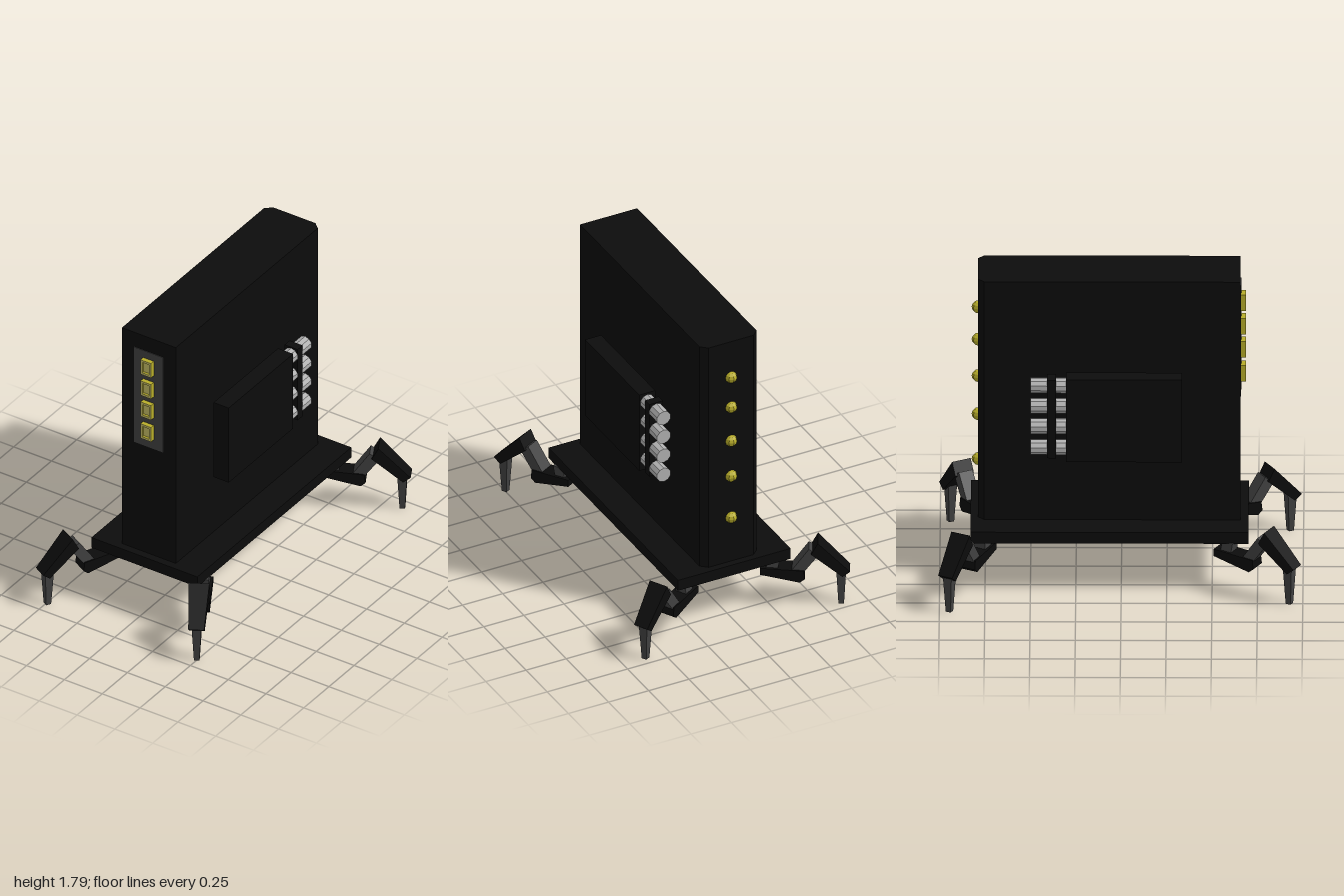
import * as THREE from 'three';

const mat = (name, color) => {
  const m = new THREE.MeshStandardMaterial({ color });
  m.name = name;
  return m;
};

// Faceted copy of a rounded geometry
const faceted = (geo) => {
  const g = geo.toNonIndexed();
  g.computeVertexNormals();
  return g;
};

// Closed side profile (r, y) extruded to a width centred on z
function prism(points, width) {
  const shape = new THREE.Shape(points.map(([x, y]) => new THREE.Vector2(x, y)));
  const geo = new THREE.ExtrudeGeometry(shape, { depth: width, bevelEnabled: false });
  return geo.translate(0, 0, -width / 2);
}

export function createModel() {
  const black = mat('black shell', 0x0c0c0c);
  const grey = mat('dark grey metal', 0x414141);
  const silver = mat('silver', 0xb2b2b2);
  const yellow = mat('yellow', 0xb8ad2a);
  const pale = mat('pale yellow', 0xc6be66);

  const root = new THREE.Group();
  root.name = 'walkingTower';
  const core = new THREE.Group();
  core.name = 'core';
  core.position.x = -0.004;
  root.add(core);

  const add = (parent, name, geo, material, x = 0, y = 0, z = 0) => {
    const m = new THREE.Mesh(geo, material);
    m.name = name;
    m.position.set(x, y, z);
    parent.add(m);
    return m;
  };
  // Box given by its minimum and maximum corners
  const box = (parent, name, material, a, b) =>
    add(parent, name, new THREE.BoxGeometry(b[0] - a[0], b[1] - a[1], b[2] - a[2]), material,
      (a[0] + b[0]) / 2, (a[1] + b[1]) / 2, (a[2] + b[2]) / 2);

  // Tower with chamfered rear corners, drawn in plan and raised
  const plan = new THREE.Shape([
    [-0.178, -0.655], [0.178, -0.655], [0.178, 0.755], [0.14, 0.79], [-0.14, 0.79], [-0.178, 0.755],
  ].map(([x, y]) => new THREE.Vector2(x, y)));
  const towerGeo = new THREE.ExtrudeGeometry(plan, { depth: 1.435, bevelEnabled: false });
  towerGeo.rotateX(-Math.PI / 2);
  add(core, 'tower', towerGeo, black, 0, 0.36, 0);
  box(core, 'basePlate', black, [-0.35, 0.295, -0.83], [0.35, 0.362, 0.7]);

  // Front panel with four framed buttons
  box(core, 'frontPanel', grey, [-0.097, 1.07, 0.652], [0.097, 1.7, 0.659]);
  const frame = new THREE.Shape([
    new THREE.Vector2(-0.035, -0.048), new THREE.Vector2(0.035, -0.048),
    new THREE.Vector2(0.035, 0.048), new THREE.Vector2(-0.035, 0.048),
  ]);
  frame.holes.push(new THREE.Path([
    new THREE.Vector2(-0.023, -0.034), new THREE.Vector2(-0.023, 0.034),
    new THREE.Vector2(0.023, 0.034), new THREE.Vector2(0.023, -0.034),
  ]));
  const frameGeo = new THREE.ExtrudeGeometry(frame, { depth: 0.028, bevelEnabled: false });
  for (const y of [1.605, 1.465, 1.325, 1.18]) {
    add(core, 'buttonFrame', frameGeo, yellow, 0, y, 0.657);
    box(core, 'buttonFrameFace', pale, [-0.035, y + 0.034, 0.684], [0.035, y + 0.048, 0.686]);
    box(core, 'buttonFrameFace', pale, [-0.035, y - 0.048, 0.684], [0.035, y - 0.034, 0.686]);
    for (const s of [-1, 1]) {
      add(core, 'buttonFrameFace', new THREE.BoxGeometry(0.012, 0.068, 0.002), pale, s * 0.029, y, 0.685);
    }
    box(core, 'buttonFace', pale, [-0.023, y - 0.034, 0.657], [0.023, y + 0.034, 0.672]);
  }

  // Row of studs down the back
  const stud = faceted(new THREE.SphereGeometry(0.035, 8, 6));
  for (const y of [1.565, 1.37, 1.15, 0.92, 0.65]) add(core, 'rearStud', stud, yellow, 0, y, -0.79);

  // Side pods: bracket, slab, collar and four thrusters each
  const tube = (len) => faceted(new THREE.CylinderGeometry(0.044, 0.044, len, 10).rotateX(Math.PI / 2));
  const neckGeo = tube(0.06), nozzleGeo = tube(0.09);
  for (const s of [-1, 1]) {
    const slab = (name, m, x0, x1, y0, y1, z0, z1) =>
      add(core, name, new THREE.BoxGeometry(x1 - x0, y1 - y0, z1 - z0), m,
        s * (x0 + x1) / 2, (y0 + y1) / 2, (z0 + z1) / 2);
    slab('podBracket', grey, 0.17, 0.22, 0.945, 1.085, -0.09, 0.05);
    slab('sidePod', black, 0.215, 0.315, 0.77, 1.265, -0.305, 0.335);
    slab('thrusterCollar', black, 0.222, 0.308, 0.79, 1.26, -0.41, -0.36);
    for (const y of [1.21, 1.088, 0.965, 0.839]) {
      add(core, 'thrusterNeck', neckGeo, silver, s * 0.265, y, -0.332);
      add(core, 'thrusterNozzle', nozzleGeo, silver, s * 0.265, y, -0.455);
    }
  }

  // Leg parts, pointing along +x from the hip
  const hipGeo = prism([[-0.02, 0.208], [0.2, 0.157], [0.228, 0.18], [0.222, 0.232], [-0.02, 0.25]], 0.1);
  const jointGeo = prism([[0.01, 0.22], [0.075, 0.215], [0.09, 0.3], [0.025, 0.3]], 0.07);
  const strutGeo = prism([[0.15, 0.225], [0.2, 0.19], [0.305, 0.335], [0.25, 0.37]], 0.085);
  const thighGeo = prism([[0.3, 0.417], [0.262, 0.345], [0.435, 0.192], [0.477, 0.225]], 0.115);
  const p = thighGeo.attributes.position;
  for (let i = 0; i < p.count; i++) {
    if (p.getX(i) > 0.4) p.setZ(i, p.getZ(i) * 0.76); // narrows toward the knee end
  }
  thighGeo.computeVertexNormals();
  const footGeo = new THREE.BoxGeometry(0.055, 0.23, 0.055);
  const f = footGeo.attributes.position;
  for (let i = 0; i < f.count; i++) {
    if (f.getY(i) < 0) f.setXYZ(i, f.getX(i) * 0.55, f.getY(i), f.getZ(i) * 0.55);
  }
  footGeo.computeVertexNormals();

  // Four legs: hip position and outward direction
  for (const s of [-1, 1]) {
    for (const [name, x, z, dx, dz] of [
      ['frontLeg', 0.29, 0.55, 0.477, 0.879],
      ['backLeg', 0.232, -0.741, 0.88, -0.475],
    ]) {
      const leg = new THREE.Group();
      leg.name = (s > 0 ? 'left' : 'right') + name[0].toUpperCase() + name.slice(1);
      leg.position.set(s * x, 0, z);
      leg.rotation.y = Math.atan2(-dz, s * dx);
      add(leg, 'hip', hipGeo, black);
      add(leg, 'hipJoint', jointGeo, grey);
      add(leg, 'strut', strutGeo, grey);
      add(leg, 'thigh', thighGeo, black);
      add(leg, 'foot', footGeo, grey, 0.428, 0.115, 0);
      root.add(leg);
    }
  }
  return root;
}
